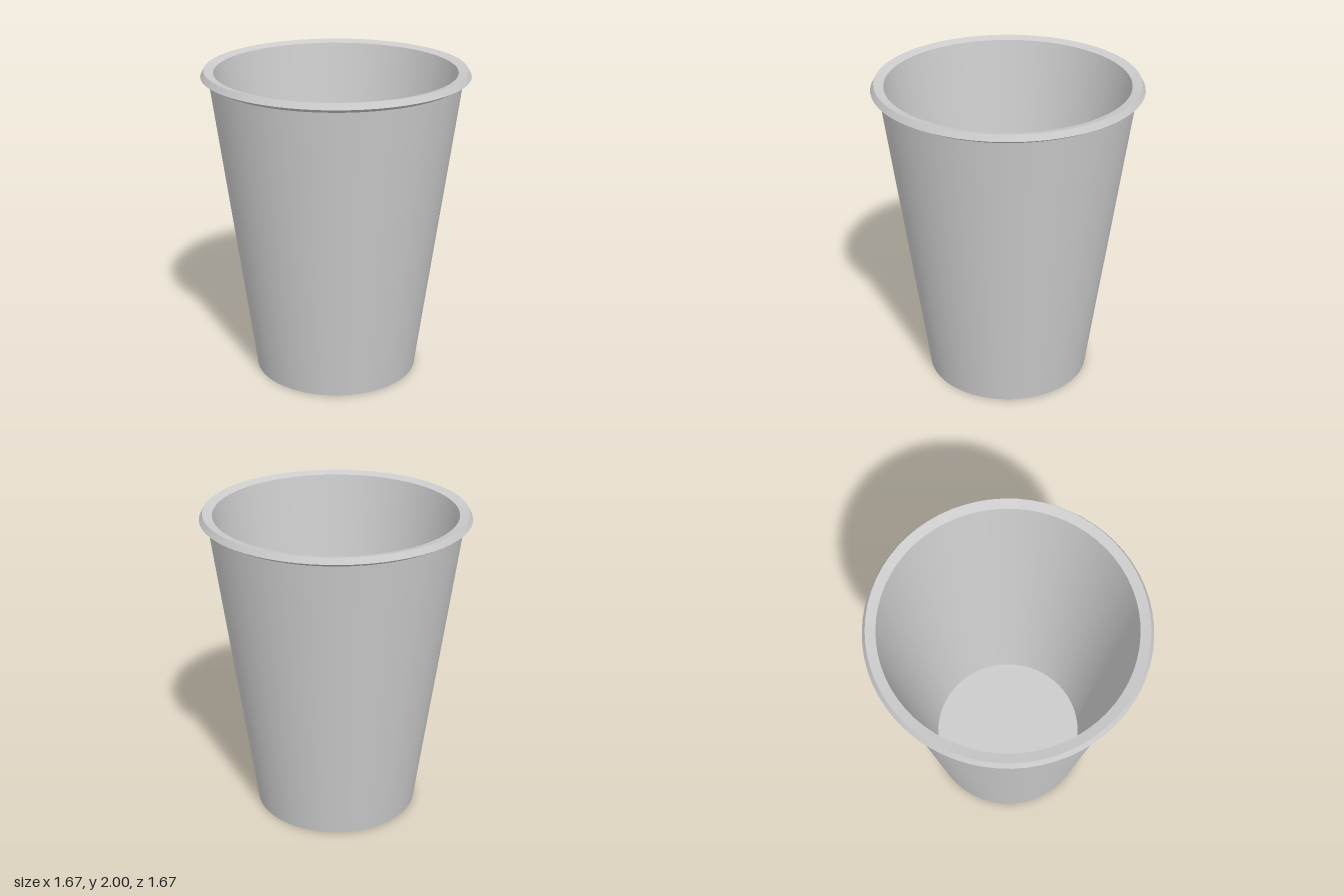
import * as THREE from 'three';

const SIDES = 64;

export function createModel() {
  const cup = new THREE.Group();
  cup.name = 'cup';
  const grey = new THREE.MeshStandardMaterial({ color: 0xcccccc });
  grey.name = 'light grey';

  // Each band is a separate lathe, smooth around the cup and sharp at its edges
  const band = (name, r0, y0, r1, y1, parent = cup) => {
    const points = [new THREE.Vector2(r0, y0), new THREE.Vector2(r1, y1)];
    const mesh = new THREE.Mesh(new THREE.LatheGeometry(points, SIDES), grey);
    mesh.name = name;
    parent.add(mesh);
  };

  // Tapered wall
  band('outerWall', 0.525, 0, 0.785, 1.935);
  band('innerWall', 0.755, 1.985, 0.5, 0.085);

  // Rolled lip
  const rim = new THREE.Group();
  rim.name = 'rim';
  cup.add(rim);
  band('rimUnderside', 0.785, 1.935, 0.835, 1.963, rim);
  band('rimEdge', 0.835, 1.963, 0.815, 2, rim);
  band('rimTop', 0.815, 2, 0.755, 1.985, rim);

  // Raised floor, seen from inside and from below
  band('floor', 0.5, 0.085, 0, 0.085);
  band('underside', 0, 0.045, 0.495, 0.045);

  // Foot ring around the recess
  band('footInside', 0.495, 0.045, 0.495, 0);
  band('footRing', 0.495, 0, 0.525, 0);

  return cup;
}
